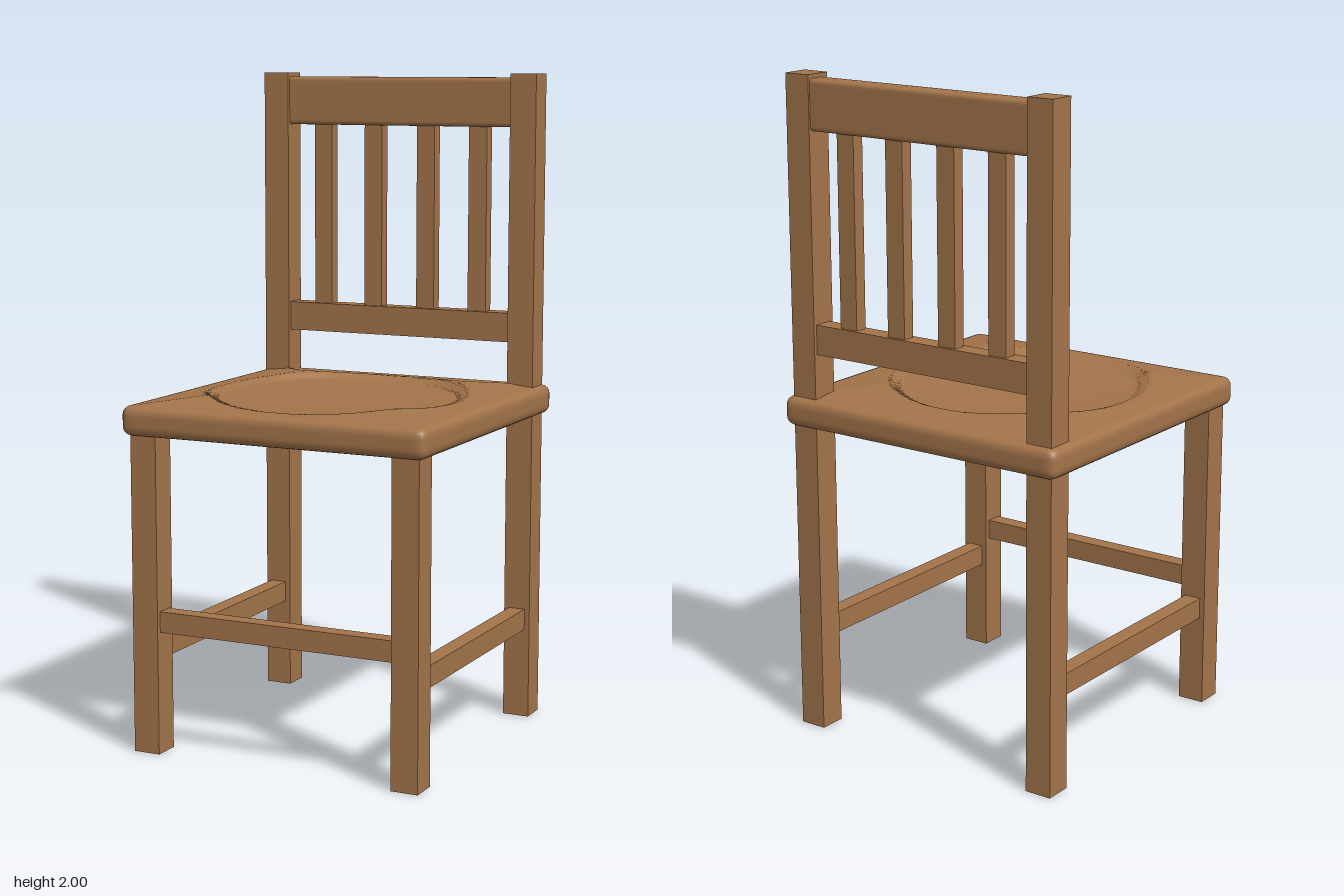
import * as THREE from 'three';
import { mergeVertices } from 'three/addons/utils/BufferGeometryUtils.js';

const wood = new THREE.MeshStandardMaterial({ color: 0xa3744a });
wood.name = 'warm brown wood';

// Square seat with rounded edges, a raised rim and a shallow round hollow
function seatGeometry() {
  const half = 0.487, low = 0.956, high = 1.046, radius = 0.028, hollowZ = 0.035;
  const geo = new THREE.BoxGeometry(half * 2, high - low, half * 2, 72, 10, 72);
  const pos = geo.attributes.position;
  const p = new THREE.Vector3(), core = new THREE.Vector3();
  const inner = new THREE.Vector3(half - radius, (high - low) / 2 - radius, half - radius);
  for (let i = 0; i < pos.count; i++) {
    p.fromBufferAttribute(pos, i);
    const side = Math.sign(p.y);
    const onFace = Math.abs(p.y) > (high - low) / 2 - 1e-5;
    core.copy(p).clamp(inner.clone().negate(), inner);
    p.sub(core).setLength(radius).add(core);
    p.y += (low + high) / 2;
    const r = Math.hypot(p.x, p.z - hollowZ);
    if (onFace && side > 0) {
      const edge = Math.max(Math.abs(p.x), Math.abs(p.z));
      const rise = 0.019 * THREE.MathUtils.clamp((0.455 - edge) / 0.16, 0, 1);
      const hollow = 1.046 - 0.008 * (1 - (r / 0.39) ** 2);
      const blend = THREE.MathUtils.smoothstep(r, 0.36, 0.395);
      p.y = THREE.MathUtils.lerp(hollow, p.y + rise, blend);
    } else if (onFace) {
      p.y -= 0.012 * Math.max(0, 1 - (r / 0.4) ** 2);
    }
    pos.setXYZ(i, p.x, p.y, p.z);
  }
  geo.deleteAttribute('uv');
  geo.deleteAttribute('normal');
  const smooth = mergeVertices(geo, 1e-5);
  smooth.computeVertexNormals();
  return smooth;
}

// Rail along x whose z-y cross-section has softened corners
function roundedRail(length, y0, y1, z0, z1, r) {
  const s = new THREE.Shape();
  s.moveTo(-z1 + r, y0);
  s.lineTo(-z0 - r, y0);
  s.quadraticCurveTo(-z0, y0, -z0, y0 + r);
  s.lineTo(-z0, y1 - r);
  s.quadraticCurveTo(-z0, y1, -z0 - r, y1);
  s.lineTo(-z1 + r, y1);
  s.quadraticCurveTo(-z1, y1, -z1, y1 - r);
  s.lineTo(-z1, y0 + r);
  s.quadraticCurveTo(-z1, y0, -z1 + r, y0);
  const geo = new THREE.ExtrudeGeometry(s, { depth: length, bevelEnabled: false, curveSegments: 5 });
  geo.translate(0, 0, -length / 2);
  geo.rotateY(Math.PI / 2);
  // the turn maps shape x to -z and extrusion depth to x
  return geo;
}

export function createModel() {
  const chair = new THREE.Group();
  chair.name = 'chair';

  const add = (name, geo) => {
    const mesh = new THREE.Mesh(geo, wood);
    mesh.name = name;
    chair.add(mesh);
  };
  const beam = (name, x0, x1, y0, y1, z0, z1) => {
    const geo = new THREE.BoxGeometry(x1 - x0, y1 - y0, z1 - z0);
    geo.translate((x0 + x1) / 2, (y0 + y1) / 2, (z0 + z1) / 2);
    add(name, geo);
  };

  add('seat', seatGeometry());

  // Legs and side stretchers, mirrored
  for (const s of [-1, 1]) {
    const label = s > 0 ? 'left' : 'right';
    const x = s * 0.421, h = 0.042;
    beam(label + 'FrontLeg', x - h, x + h, 0, 0.98, 0.38, 0.465);
    beam(label + 'BackPost', x - h, x + h, 0, 2, -0.463, -0.379);
    beam(label + 'SideStretcher', x - 0.026, x + 0.026, 0.28, 0.345, -0.385, 0.385);
  }
  beam('frontStretcher', -0.385, 0.385, 0.37, 0.433, 0.398, 0.45);

  // Backrest
  add('topRail', roundedRail(0.77, 1.838, 1.988, -0.457, -0.39, 0.014));
  beam('lowerRail', -0.385, 0.385, 1.18, 1.27, -0.452, -0.392);
  for (const x of [-0.265, -0.09, 0.09, 0.265]) {
    beam('backSlat', x - 0.03, x + 0.03, 1.26, 1.85, -0.442, -0.402);
  }
  return chair;
}
